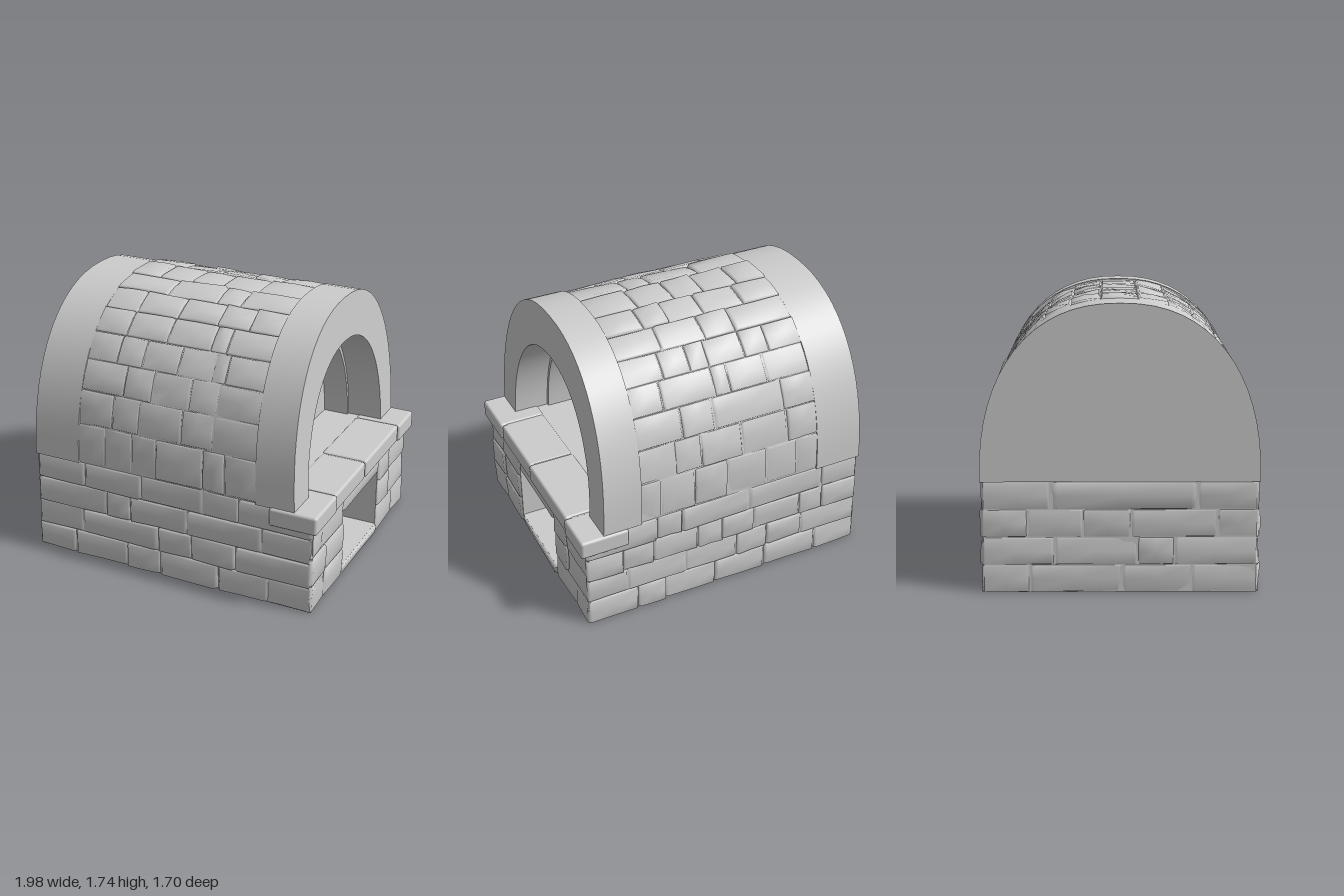
import * as THREE from 'three';
import { mergeGeometries, toCreasedNormals } from 'three/addons/utils/BufferGeometryUtils.js';
import { RoundedBoxGeometry } from 'three/addons/geometries/RoundedBoxGeometry.js';

const SPRING = 0.67; // height where the vault starts
const ROWS = 15;     // stone courses over the vault
const SIDE = 4;      // stone courses on each lower wall

export function createModel() {
  const model = new THREE.Group();
  const stone = new THREE.MeshStandardMaterial({ color: 0xcccccc });
  stone.name = 'grey stone';

  let seed = 11;
  const rand = () => (seed = (seed * 16807) % 2147483647) / 2147483647;

  const add = (name, geo) => {
    const mesh = new THREE.Mesh(geo, stone);
    mesh.name = name;
    model.add(mesh);
    return mesh;
  };

  // End walls lean inwards with height
  const lean = (x, y) => x < 0 ? x * (1 - 0.03 * y) : x * (1 - 0.055 * Math.max(0, y - SPRING));

  // Point on a slightly squared arch, angle 0..PI
  const archPoint = (a, w, h, n = 2.3) => {
    const c = Math.cos(a), s = Math.max(0, Math.sin(a));
    return new THREE.Vector2(Math.sign(c) * w * Math.abs(c) ** (2 / n), SPRING + h * s ** (2 / n));
  };
  const arch = (w, h, n) => Array.from({ length: 33 }, (_, i) => archPoint(Math.PI * i / 32, w, h, n));

  // Extrude a cross-section (z, y) along x, then lean its ends
  const extrude = (points, x0, x1, hole) => {
    const shape = new THREE.Shape(points);
    if (hole) shape.holes.push(new THREE.Path(hole));
    const geo = new THREE.ExtrudeGeometry(shape, { depth: x1 - x0, bevelEnabled: false });
    geo.rotateY(Math.PI / 2).translate(x0, 0, 0);
    const p = geo.attributes.position;
    for (let i = 0; i < p.count; i++) p.setX(i, lean(p.getX(i), p.getY(i)));
    return toCreasedNormals(geo, 0.6);
  };
  const v = (x, y) => new THREE.Vector2(x, y);
  const rect = (w, y0, y1) => [v(w, y0), v(w, y1), v(-w, y1), v(-w, y0)];
  const band = (w, h, wi, hi) => [...arch(w, h), ...arch(wi, hi, 2.15).reverse()];

  // Solid base with the fuel opening at the front
  add('baseRear', extrude(rect(0.81, 0, 0.668), -0.975, 0, null));
  add('baseFront', extrude(rect(0.81, 0, 0.668), 0, 0.945, rect(0.31, 0.05, 0.45)));

  // Vault: solid rear, wall with the oven mouth, and the open porch
  add('vaultRear', extrude(arch(0.815, 1.045), -0.7, 0));
  const mouth = [v(0.3, 0.675), v(0.28, 0.9), v(0.2, 0.96), v(0, 0.99), v(-0.1, 0.985), v(-0.25, 0.94), v(-0.3, 0.92), v(-0.3, 0.675)];
  add('mouthWall', extrude(arch(0.815, 1.045), 0, 0.44, mouth));
  add('porchVault', extrude(band(0.815, 1.045, 0.605, 0.755), 0.44, 0.61));
  add('frontArch', extrude(band(0.835, 1.072, 0.625, 0.79), 0.59, 0.842));
  add('rearArch', extrude(arch(0.83, 1.05), -0.985, -0.66));

  // One pillowed stone over a surface function at(u, v) -> [position, normal]
  const steps = [0, 0.05, 0.5, 0.95, 1];
  const makeStone = (at) => {
    const pos = [], index = [];
    const h = rand() * 0.012, tu = (rand() - 0.5) * 0.022, tv = (rand() - 0.5) * 0.022;
    steps.forEach((b, j) => steps.forEach((a, i) => {
      const [p, n] = at(a, b);
      const edge = i % 4 === 0 || j % 4 === 0;
      const lift = edge ? -0.012 : h + tu * (a - 0.5) + tv * (b - 0.5) + (rand() - 0.5) * 0.008;
      p.addScaledVector(n, lift);
      pos.push(p.x, p.y, p.z);
      if (i < 4 && j < 4) {
        const k = j * 5 + i;
        index.push(k, k + 1, k + 6, k, k + 6, k + 5);
      }
    }));
    const geo = new THREE.BufferGeometry();
    geo.setAttribute('position', new THREE.Float32BufferAttribute(pos, 3));
    geo.setIndex(index);
    geo.computeVertexNormals();
    return geo;
  };

  // Split a length into uneven stones
  const split = (a, b, width) => {
    const n = Math.max(1, Math.round((b - a) / width));
    return Array.from({ length: n + 1 }, (_, i) =>
      a + (b - a) * (i + (i > 0 && i < n ? (rand() - 0.5) * 0.7 : 0)) / n);
  };

  // Outer skin: t runs up one wall, over the vault and down the other wall
  const skin = (t) => {
    if (t < 0) return v(0.82, SPRING * (1 + t / SIDE));
    if (t > ROWS) return v(-0.82, SPRING * (1 - (t - ROWS) / SIDE));
    return archPoint(Math.PI * t / ROWS, 0.82, 1.055);
  };
  const skinAt = (x0, x1, t0) => (a, b) => {
    const t = t0 + b, p = skin(t);
    const d = skin(Math.min(t + 0.05, t0 + 1)).sub(skin(Math.max(t - 0.05, t0))).normalize();
    return [new THREE.Vector3(lean(x0 + (x1 - x0) * a, p.y), p.y, p.x), new THREE.Vector3(0, -d.x, d.y)];
  };
  const courses = (from, to, x0, x1, width) => {
    const list = [];
    for (let t = from; t < to; t++) {
      const cuts = split(x0, x1, width * (0.8 + rand() * 0.5));
      for (let i = 0; i + 1 < cuts.length; i++) list.push(makeStone(skinAt(cuts[i], cuts[i + 1], t)));
    }
    return list;
  };
  add('vaultStones', mergeGeometries(courses(0, ROWS, -0.67, 0.6, 0.25)));
  add('leftWallStones', mergeGeometries(courses(-SIDE, 0, -0.98, 0.955, 0.3)));
  add('rightWallStones', mergeGeometries(courses(ROWS, ROWS + SIDE, -0.98, 0.955, 0.3)));

  // Flat end walls: side is +1 at the front, -1 at the back
  const endStones = (side, x, z0, z1, y0, y1, rows, width) => {
    const list = [];
    for (let r = 0; r < rows; r++) {
      const cuts = split(z0, z1, width * (0.8 + rand() * 0.4));
      for (let i = 0; i + 1 < cuts.length; i++) {
        list.push(makeStone((a, b) => {
          const k = side > 0 ? 1 - a : a;
          const y = y0 + (y1 - y0) * (r + b) / rows;
          return [new THREE.Vector3(lean(x, y), y, cuts[i] + (cuts[i + 1] - cuts[i]) * k),
            new THREE.Vector3(side, 0, 0)];
        }));
      }
    }
    return list;
  };
  add('frontBaseStones', mergeGeometries([
    ...endStones(1, 0.95, 0.31, 0.82, 0, 0.56, 3, 0.3),
    ...endStones(1, 0.95, -0.82, -0.31, 0, 0.56, 3, 0.3),
    ...endStones(1, 0.95, -0.31, 0.31, 0.45, 0.56, 1, 0.6),
    ...endStones(1, 0.95, -0.31, 0.31, 0, 0.05, 1, 0.6),
  ]));
  add('backBaseStones', mergeGeometries(endStones(-1, -0.98, -0.82, 0.82, 0, SPRING, SIDE, 0.4)));

  // Hearth ledge of long slabs across the front
  const ledge = new THREE.Group();
  ledge.name = 'hearthLedge';
  [[-0.85, -0.58, 0.995], [-0.58, 0.02, 0.985], [0.02, 0.52, 0.98], [0.52, 0.85, 0.99]].forEach(([z0, z1, x1], i) => {
    const slab = new THREE.Mesh(new RoundedBoxGeometry(x1 - 0.68, 0.12, z1 - z0, 2, 0.018), stone);
    slab.position.set((x1 + 0.68) / 2, 0.613 + (i % 2) * 0.004, (z0 + z1) / 2);
    slab.name = 'ledgeSlab';
    ledge.add(slab);
  });
  model.add(ledge);

  return model;
}
